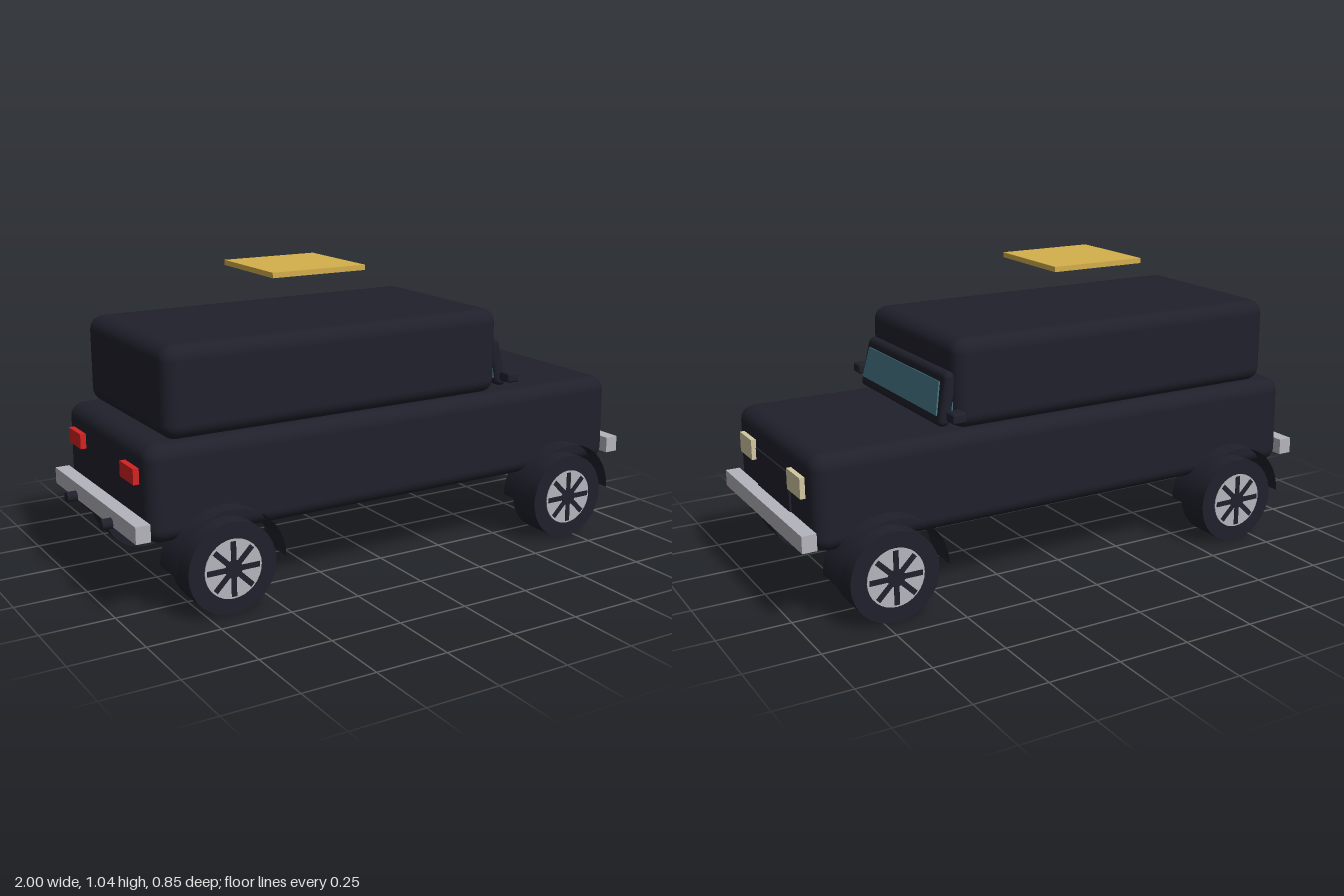
import * as THREE from 'three';
import { RoundedBoxGeometry } from 'three/addons/geometries/RoundedBoxGeometry.js';

const mat = (name, color, side = THREE.FrontSide) => {
  const m = new THREE.MeshStandardMaterial({ color, side });
  m.name = name;
  return m;
};

export function createModel() {
  const car = new THREE.Group();
  car.name = 'car';
  const dark = mat('dark paint', 0x1f202b, THREE.DoubleSide);
  const silver = mat('silver', 0xb4b4bc);
  const glass = mat('glass', 0x41717f, THREE.DoubleSide);
  const cream = mat('headlight cream', 0xd2c9a2);
  const red = mat('tail light red', 0xd42222);
  const gold = mat('gold', 0xd4af4c);

  const add = (name, geo, material, parent = car) => {
    const m = new THREE.Mesh(geo, material);
    m.name = name;
    parent.add(m);
    return m;
  };
  // Box given by its limits, rounded when r > 0
  const box = (name, material, [x0, x1], [y0, y1], [z0, z1], r = 0) => {
    const s = [x1 - x0, y1 - y0, z1 - z0];
    const geo = r ? new RoundedBoxGeometry(...s, 4, r) : new THREE.BoxGeometry(...s);
    geo.translate((x0 + x1) / 2, (y0 + y1) / 2, (z0 + z1) / 2);
    return add(name, geo, material);
  };

  // Lower body, narrowing slightly upwards
  const body = box('lowerBody', dark, [-0.915, 0.945], [0.25, 0.57], [-0.357, 0.357], 0.05);
  const bp = body.geometry.attributes.position;
  for (let i = 0; i < bp.count; i++) bp.setZ(i, bp.getZ(i) * (1 - 0.06 * (bp.getY(i) - 0.25)));
  body.geometry.attributes.position.needsUpdate = true;
  box('cabin', dark, [-0.84, 0.44], [0.568, 0.87], [-0.33, 0.33], 0.05);

  // Windshield frame: rounded slab leaning back and narrowing upwards
  const frame = box('windshieldFrame', dark, [0.435, 0.48], [0.585, 0.762], [-0.31, 0.31], 0.02);
  const fp = frame.geometry.attributes.position;
  for (let i = 0; i < fp.count; i++) {
    const dy = fp.getY(i) - 0.67;
    fp.setX(i, fp.getX(i) - 0.2 * dy);
    fp.setZ(i, fp.getZ(i) * (1 - 0.2 * dy));
  }

  // Windshield pane
  const pane = new THREE.Shape([[-0.29, -0.055], [0.29, -0.055], [0.273, 0.055], [-0.273, 0.055]]
    .map(p => new THREE.Vector2(...p)));
  const paneGeo = new THREE.ExtrudeGeometry(pane, { depth: 0.006, bevelEnabled: false });
  paneGeo.rotateX(-0.197).rotateY(Math.PI / 2).translate(0.478, 0.675, 0);
  add('windshield', paneGeo, glass);

  // Side panes closing the gap between cabin and frame
  const quarter = new THREE.Shape([[0.36, 0.615], [0.465, 0.615], [0.44, 0.74], [0.36, 0.74]]
    .map(p => new THREE.Vector2(...p)));

  for (const s of [1, -1]) {
    const zs = (a, b) => (s > 0 ? [a, b] : [-b, -a]);
    add('sidePane', new THREE.ShapeGeometry(quarter), glass).position.z = s * 0.298;
    box('mirror', dark, [0.435, 0.485], [0.615, 0.65], zs(0.34, 0.395), 0.008);
    box('headlight', cream, [0.92, 0.962], [0.42, 0.49], zs(0.165, 0.28));
    box('tailLight', red, [-0.935, -0.9], [0.44, 0.492], zs(0.175, 0.285));

    // Exhaust pipe
    const pipe = new THREE.CylinderGeometry(0.018, 0.018, 0.13, 12).rotateZ(Math.PI / 2);
    add('exhaust', pipe, dark).position.set(-0.935, 0.285, s * 0.16);

    for (const x of [-0.665, 0.71]) {
      // Open wheel arch shell
      const arch = new THREE.CylinderGeometry(0.192, 0.192, 0.132, 20, 1, true, Math.PI / 2, Math.PI);
      arch.rotateX(Math.PI / 2);
      add('wheelArch', arch, dark).position.set(x, 0.16, s * 0.352);

      // Wheel
      const wheel = new THREE.Group();
      wheel.name = 'wheel';
      wheel.position.set(x, 0.156, s * 0.357);
      car.add(wheel);
      const disc = (r, w, n) => new THREE.CylinderGeometry(r, r, w, n).rotateX(Math.PI / 2);
      add('tire', disc(0.155, 0.124, 32), dark, wheel);
      add('rim', disc(0.1, 0.13, 32), silver, wheel);
      add('hub', disc(0.03, 0.138, 16), dark, wheel);
      for (let i = 0; i < 4; i++) {
        add('spoke', new THREE.BoxGeometry(0.185, 0.018, 0.136), dark, wheel).rotation.z = i * Math.PI / 4;
      }
    }
  }

  // Front and rear fittings
  box('grille', dark, [0.92, 0.952], [0.335, 0.465], [-0.15, 0.15]);
  box('frontBumper', silver, [0.945, 0.995], [0.275, 0.332], [-0.362, 0.362]);
  box('rearBumper', silver, [-0.965, -0.915], [0.275, 0.332], [-0.362, 0.362]);

  // Plate hovering above the roof
  box('roofPlate', gold, [-0.38, -0.025], [1.024, 1.042], [-0.177, 0.177]);
  return car;
}
